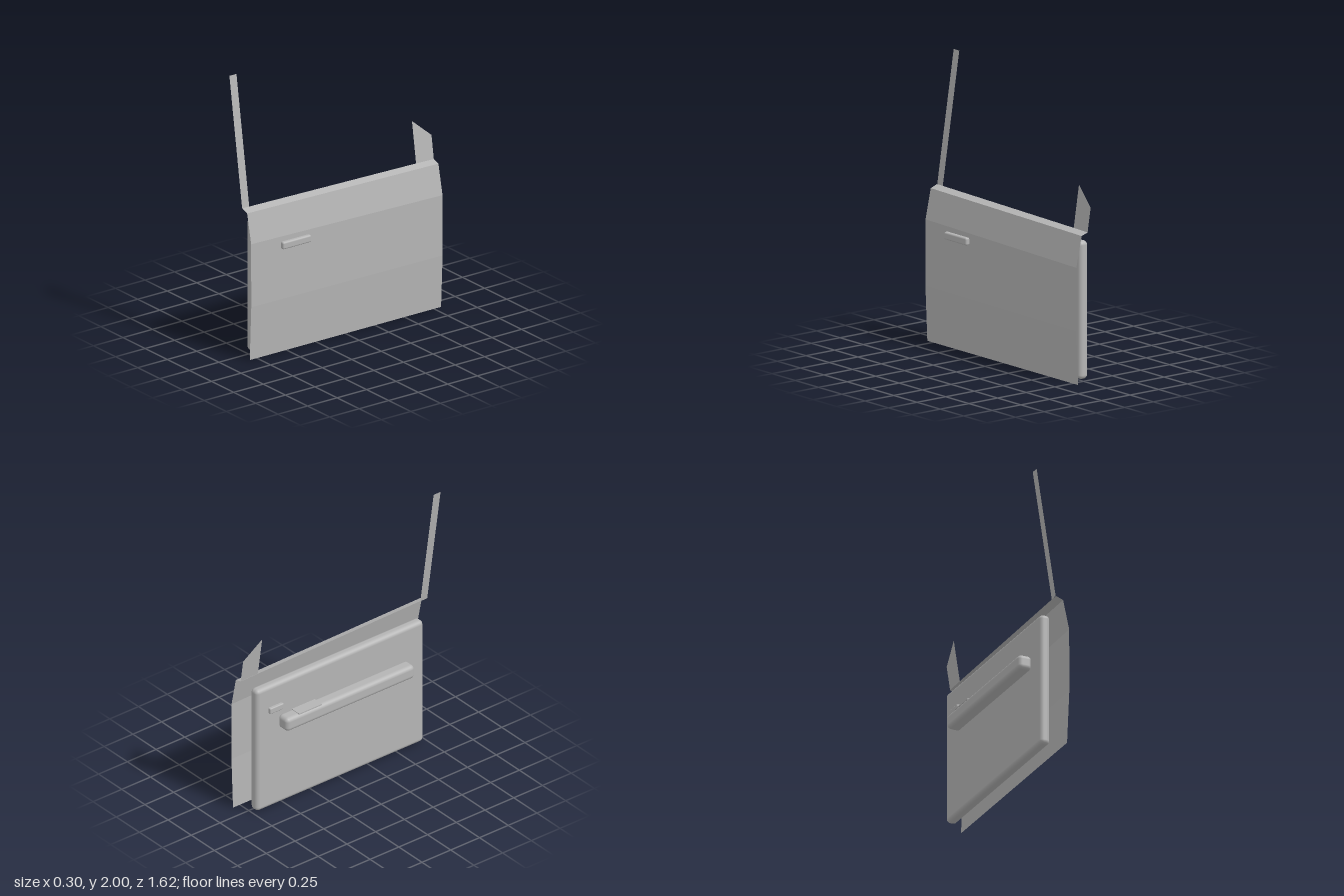
import * as THREE from 'three';
import { RoundedBoxGeometry } from 'three/addons/geometries/RoundedBoxGeometry.js';

export function createModel() {
  const model = new THREE.Group();
  model.name = 'door';
  const grey = new THREE.MeshStandardMaterial({ color: 0xb4b4b4, side: THREE.DoubleSide });
  grey.name = 'doorGrey';

  const add = (name, geometry) => {
    const mesh = new THREE.Mesh(geometry, grey);
    mesh.name = name;
    model.add(mesh);
    return mesh;
  };

  // Flat-shaded sheet from four corners, counter-clockwise seen from +x
  const addQuad = (name, a, b, c, d) => {
    const g = new THREE.BufferGeometry();
    g.setAttribute('position', new THREE.Float32BufferAttribute([a, b, c, a, c, d].flat(), 3));
    g.computeVertexNormals();
    return add(name, g);
  };

  // Rounded block given by its minimum and maximum corners
  const addBlock = (name, min, max, radius) => {
    const size = max.map((v, i) => v - min[i]);
    const mesh = add(name, new RoundedBoxGeometry(...size, 4, radius));
    mesh.position.set(...max.map((v, i) => (v + min[i]) / 2));
  };

  // Outer skin profile: x, height at +z end, height at -z end
  const zEnd = 0.81;
  const profile = [
    [0.095, 0, 0],
    [0.112, 0.39, 0.38],
    [0.111, 0.85, 0.82],
    [0.065, 1.06, 1.035],
    [0.01, 1.08, 1.052],
  ];
  const names = ['lowerSkin', 'middleSkin', 'upperSkin', 'windowSill'];
  names.forEach((name, i) => {
    const [x0, f0, b0] = profile[i];
    const [x1, f1, b1] = profile[i + 1];
    addQuad(name, [x0, f0, zEnd], [x0, b0, -zEnd], [x1, b1, -zEnd], [x1, f1, zEnd]);
  });

  // Window frame pieces lean inwards with height
  const lean = (y, z) => [0.01 - (y - 1.07) * 0.156, y, z];
  addQuad('windowPillar', lean(1.08, zEnd), lean(1.078, 0.75), lean(2, 0.75), lean(2, zEnd));
  addQuad('mirrorMount', lean(1.055, -0.66), lean(1.052, -zEnd), lean(1.22, -zEnd), lean(1.35, -0.66));

  // Inner trim and handles
  addBlock('innerPanel', [-0.063, 0.005, -0.73], [0.012, 0.97, 0.725], 0.03);
  addBlock('armrest', [-0.153, 0.61, -0.54], [-0.05, 0.714, 0.577], 0.03);
  addBlock('innerHandle', [-0.085, 0.76, -0.63], [-0.05, 0.805, -0.51], 0.008);
  addBlock('outerHandle', [0.115, 0.762, 0.327], [0.15, 0.815, 0.567], 0.012);

  // Switch plate on the armrest
  const plate = add('switchPlate', new THREE.BoxGeometry(0.08, 0.009, 0.2));
  plate.position.set(-0.105, 0.7135, -0.328);

  return model;
}
